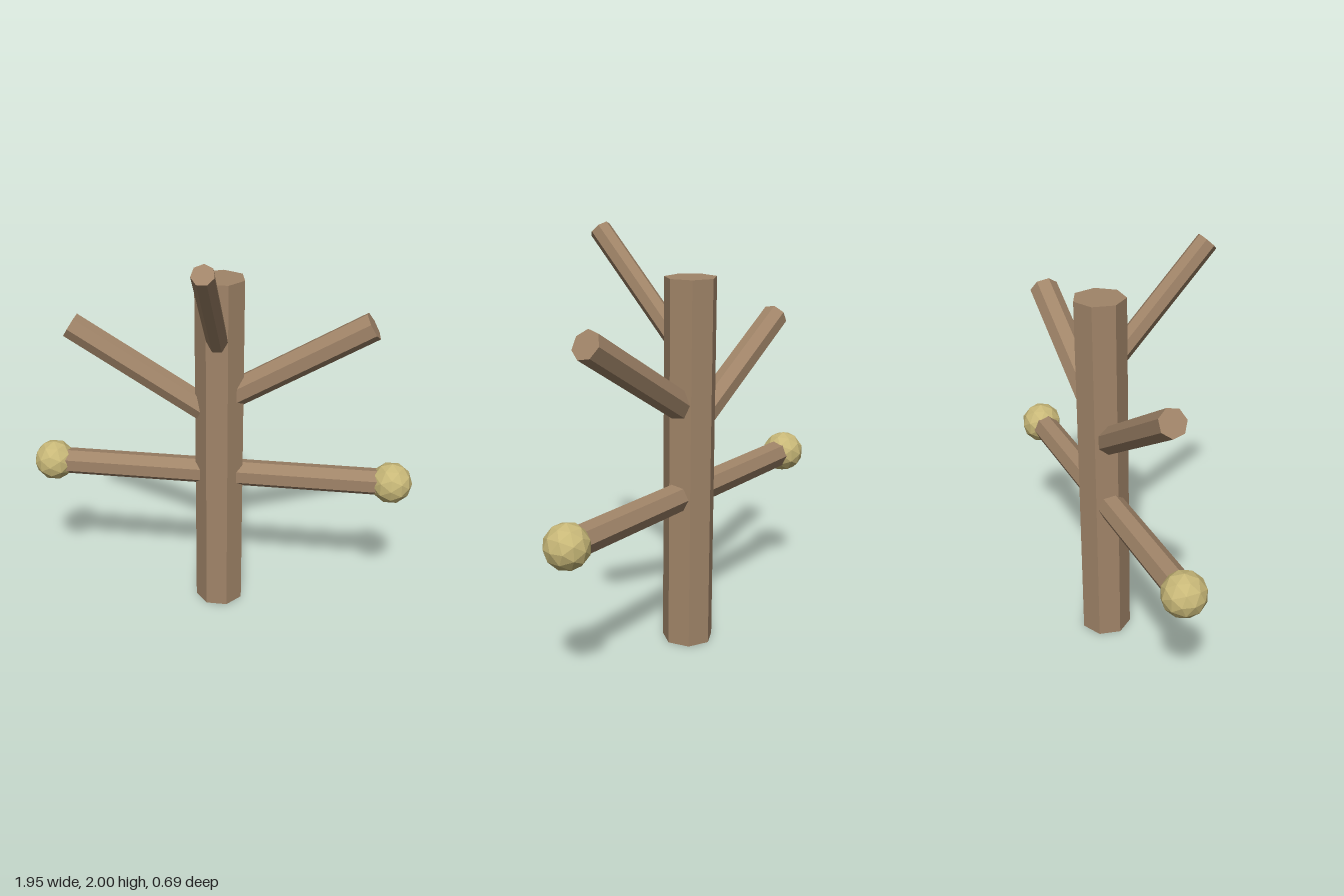
import * as THREE from 'three';

const SIDES = 7;
const AXIS_Z = -0.226;

export function createModel() {
  const bark = new THREE.MeshStandardMaterial({ color: 0xa08468, flatShading: true });
  bark.name = 'bark';
  const foliage = new THREE.MeshStandardMaterial({ color: 0xc8b878, flatShading: true });
  foliage.name = 'dryFoliage';

  const model = new THREE.Group();
  model.name = 'bareTree';

  // Seven-sided log between two points; ridge is the direction one edge points to
  function log(name, from, to, radius, ridge) {
    const a = new THREE.Vector3(...from);
    const b = new THREE.Vector3(...to);
    const y = b.clone().sub(a);
    const length = y.length();
    y.normalize();
    const x = new THREE.Vector3().crossVectors(y, new THREE.Vector3(...ridge)).normalize();
    const z = new THREE.Vector3().crossVectors(x, y);
    const mesh = new THREE.Mesh(new THREE.CylinderGeometry(radius, radius, length, SIDES), bark);
    mesh.name = name;
    mesh.quaternion.setFromRotationMatrix(new THREE.Matrix4().makeBasis(x, y, z));
    mesh.position.copy(a).add(b).multiplyScalar(0.5);
    model.add(mesh);
  }

  const back = [0, 0, -1];
  const front = [0, 0, 1];

  log('trunk', [0, 0, AXIS_Z], [0, 1.78, AXIS_Z], 0.1236, back);

  // Raised branches
  log('leftUpperBranch', [0, 1.15, AXIS_Z], [0.73, 1.58, AXIS_Z], 0.0713, back);
  log('rightUpperBranch', [0, 1.05, AXIS_Z], [-0.743, 1.505, AXIS_Z], 0.066, front);
  log('frontBranch', [0, 1.4, AXIS_Z], [0, 1.965, 0.308], 0.0535, [0, 1, -1]);

  // Level branches, each tipped with a faceted ball
  for (const [side, s] of [['left', 1], ['right', -1]]) {
    log(side + 'LowerBranch', [0, 0.75, AXIS_Z], [s * 0.85, 0.75, AXIS_Z], 0.069, back);
    const ball = new THREE.Mesh(new THREE.IcosahedronGeometry(0.105, 1), foliage);
    ball.name = side + 'Ball';
    ball.position.set(s * 0.87, 0.75, AXIS_Z);
    model.add(ball);
  }

  return model;
}
